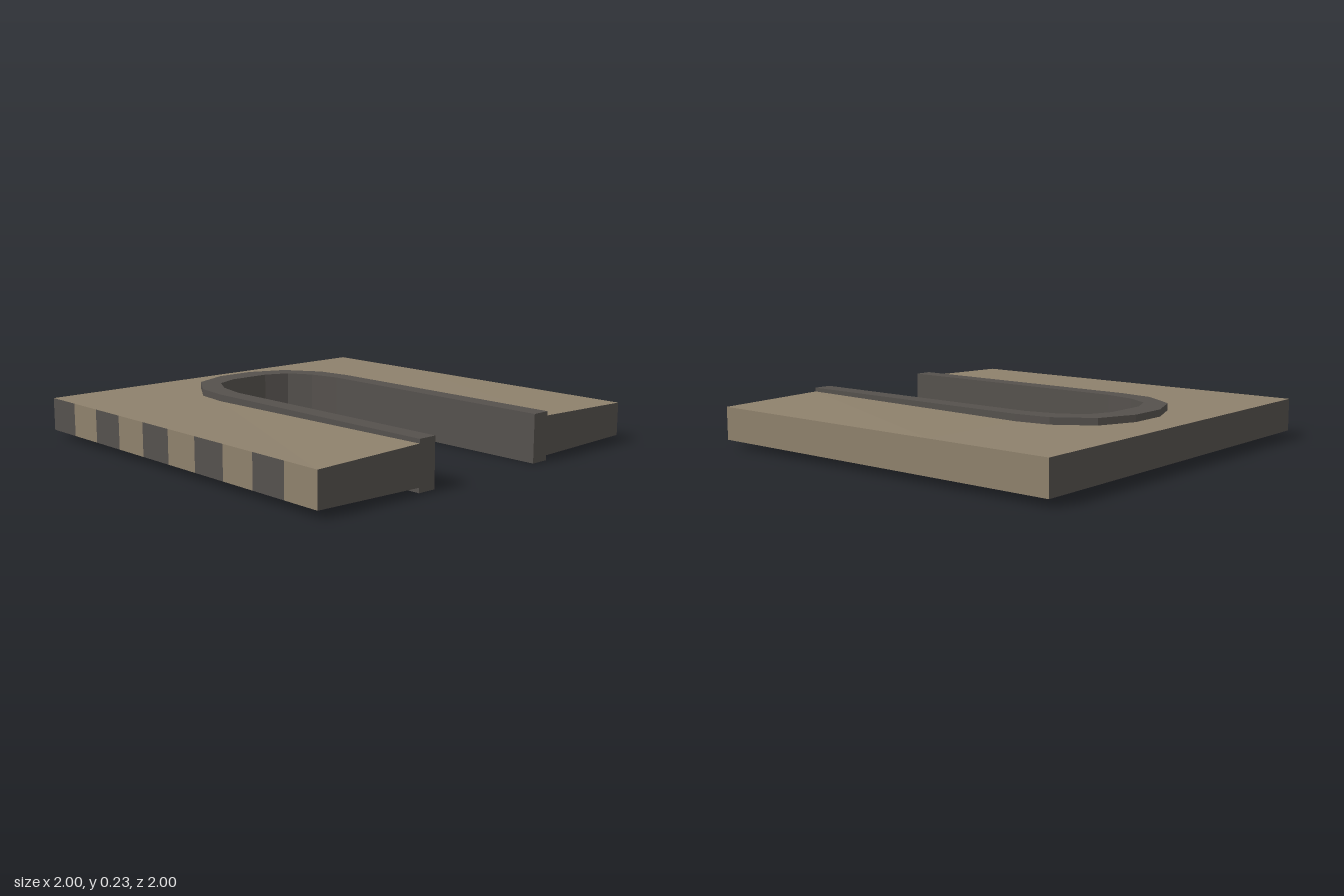
import * as THREE from 'three';

const tan = new THREE.MeshStandardMaterial({ color: 0x8e816c });
tan.name = 'sandy tan';
const grey = new THREE.MeshStandardMaterial({ color: 0x55514d });
grey.name = 'dark stone grey';

// Mirrors a right-hand path [x, z] to give the whole path, right front to left front
const mirrored = (half) => [...half, ...half.map(([x, z]) => [-x, z]).reverse()];

const slotEdge = mirrored([[0.335, 1], [0.335, -0.34], [0.3, -0.5], [0.23, -0.62], [0.11, -0.67]]);
const rimEdge = mirrored([[0.43, 1], [0.43, -0.36], [0.405, -0.54], [0.287, -0.72], [0.1, -0.797]]);
const slabEdge = mirrored([[1, 1], [1, -0.36], [1, -0.54], [1, -1], [0.1, -1]]);

// Builds a mesh from flat four-cornered faces, corners anticlockwise from outside
function quadMesh(name, material, quads) {
  const points = quads.flatMap(([a, b, c, d]) => [a, b, c, a, c, d]).flat();
  const geometry = new THREE.BufferGeometry();
  geometry.setAttribute('position', new THREE.Float32BufferAttribute(points, 3));
  geometry.computeVertexNormals();
  const mesh = new THREE.Mesh(geometry, material);
  mesh.name = name;
  return mesh;
}

// The slab swells slightly toward the front along the slot
const swell = ([x, z]) => (Math.abs(x) < 0.5 ? Math.max(0, (z + 0.36) / 1.36) : 0);
const high = (p) => [p[0], 0.2 + 0.014 * swell(p), p[1]];
const low = (p) => [p[0], 0.036 - 0.012 * swell(p), p[1]];
const wall = (a, b) => [low(a), low(b), high(b), high(a)];

export function createModel() {
  const model = new THREE.Group();

  // Raised rim around the arched slot
  const outline = [...rimEdge, ...[...slotEdge].reverse()];
  const shape = new THREE.Shape(outline.map(([x, z]) => new THREE.Vector2(x, -z)));
  const rimGeometry = new THREE.ExtrudeGeometry(shape, { depth: 0.234, bevelEnabled: false });
  rimGeometry.rotateX(-Math.PI / 2);
  const rim = new THREE.Mesh(rimGeometry, grey);
  rim.name = 'slotRim';
  model.add(rim);

  // Slab top and underside, as strips from the rim to the outer edge
  const top = [];
  const bottom = [];
  for (let i = 0; i < rimEdge.length - 1; i++) {
    const [a, b, c, d] = [rimEdge[i], slabEdge[i], slabEdge[i + 1], rimEdge[i + 1]];
    top.push([a, b, c, d].map(high));
    bottom.push([d, c, b, a].map(low));
  }
  model.add(quadMesh('slabTop', tan, top));
  model.add(quadMesh('slabUnderside', tan, bottom));

  // Plain edges of the slab
  model.add(quadMesh('leftEdge', tan, [wall([1, 1], [1, -1])]));
  model.add(quadMesh('backEdge', grey, [wall([1, -1], [-1, -1])]));
  model.add(quadMesh('frontEdges', grey, [
    wall(rimEdge[0], slabEdge[0]),
    wall(slabEdge.at(-1), rimEdge.at(-1)),
  ]));

  // Banded edge, alternating grey and tan from back to front
  const bands = [[], []];
  for (let k = 0; k < 10; k++) {
    const z = -1 + k * 0.2;
    bands[k % 2].push(wall([-1, z], [-1, z + 0.2]));
  }
  model.add(quadMesh('rightEdgeGreyBands', grey, bands[0]));
  model.add(quadMesh('rightEdgeTanBands', tan, bands[1]));

  return model;
}
